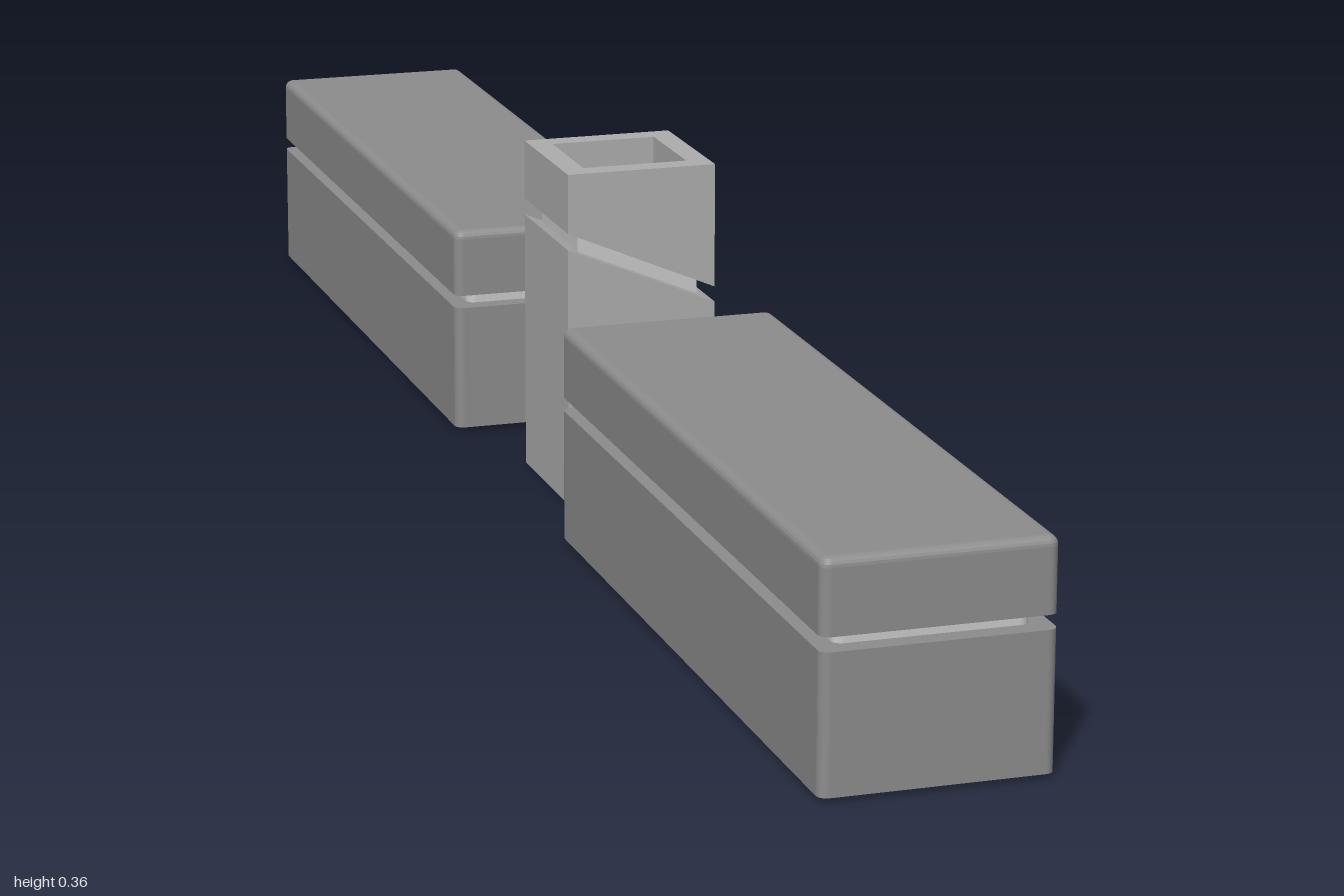
import * as THREE from 'three';

const benchGrey = new THREE.MeshStandardMaterial({ color: 0x8d8d8d });
const binGrey = new THREE.MeshStandardMaterial({ color: 0xaeaeae });
const recessGrey = new THREE.MeshStandardMaterial({ color: 0xcccccc });

function mesh(name, geometry, material) {
  const m = new THREE.Mesh(geometry, material);
  m.name = name;
  return m;
}

function roundedRect(w, d, r) {
  const x = w / 2, y = d / 2, s = new THREE.Shape();
  s.absarc(x - r, y - r, r, 0, Math.PI / 2);
  s.absarc(-x + r, y - r, r, Math.PI / 2, Math.PI);
  s.absarc(-x + r, -y + r, r, Math.PI, Math.PI * 1.5);
  s.absarc(x - r, -y + r, r, Math.PI * 1.5, Math.PI * 2);
  s.closePath();
  return s;
}

// Upright slab with rounded corners; only its top rim is eased, the bottom stays flat
function slab(w, d, y0, y1, bevel) {
  const geo = new THREE.ExtrudeGeometry(roundedRect(w, d, 0.01), {
    depth: y1 - y0 - bevel, curveSegments: 5,
    bevelEnabled: bevel > 0, bevelThickness: bevel, bevelSize: bevel,
    bevelOffset: -bevel, bevelSegments: 5,
  });
  geo.rotateX(-Math.PI / 2);
  const p = geo.attributes.position;
  for (let i = 0; i < p.count; i++) p.setY(i, Math.max(0, p.getY(i)));
  geo.translate(0, y0, 0);
  geo.computeVertexNormals();
  return geo;
}

function bench(name, z) {
  const g = new THREE.Group();
  g.name = name;
  g.add(
    mesh('benchBase', slab(0.226, 0.797, 0.005, 0.142, 0), benchGrey),
    mesh('benchRecess', slab(0.188, 0.757, 0.142, 0.156, 0), recessGrey),
    mesh('benchSeat', slab(0.226, 0.797, 0.156, 0.229, 0.009), benchGrey),
  );
  g.position.z = z;
  return g;
}

// Square tube whose lower and upper ends follow heights given as functions of x
const BIN = 0.0805;
function squareTube(inset, bottom, top) {
  const square = (h) => [[-h, -h], [h, -h], [h, h], [-h, h]].map(([x, y]) => new THREE.Vector2(x, y));
  const shape = new THREE.Shape(square(BIN - inset));
  shape.holes.push(new THREE.Path(square(BIN - 0.024)));
  const geo = new THREE.ExtrudeGeometry(shape, { depth: 1, bevelEnabled: false });
  geo.rotateX(-Math.PI / 2);
  const p = geo.attributes.position;
  for (let i = 0; i < p.count; i++) {
    const x = p.getX(i);
    p.setY(i, p.getY(i) > 0.5 ? top(x) : bottom(x));
  }
  geo.computeVertexNormals();
  return geo;
}

function litterBin() {
  const g = new THREE.Group();
  g.name = 'litterBin';
  const grooveLow = (x) => 0.244 - 0.42 * x;
  const grooveHigh = (x) => 0.261 - 0.43 * x;
  const floor = new THREE.BoxGeometry(2 * BIN - 0.048, 0.02, 2 * BIN - 0.048);
  floor.translate(0, 0.01, 0);
  g.add(
    mesh('binBody', squareTube(0, () => 0, grooveLow), binGrey),
    mesh('binRecess', squareTube(0.015, grooveLow, grooveHigh), recessGrey),
    mesh('binCollar', squareTube(0, grooveHigh, () => 0.359), binGrey),
    mesh('binFloor', floor, binGrey),
  );
  g.position.set(0.009, 0, 0.008);
  return g;
}

export function createModel() {
  const model = new THREE.Group();
  model.name = 'benchesWithBin';
  model.add(bench('frontBench', 0.6015), bench('backBench', -0.6015), litterBin());
  return model;
}
